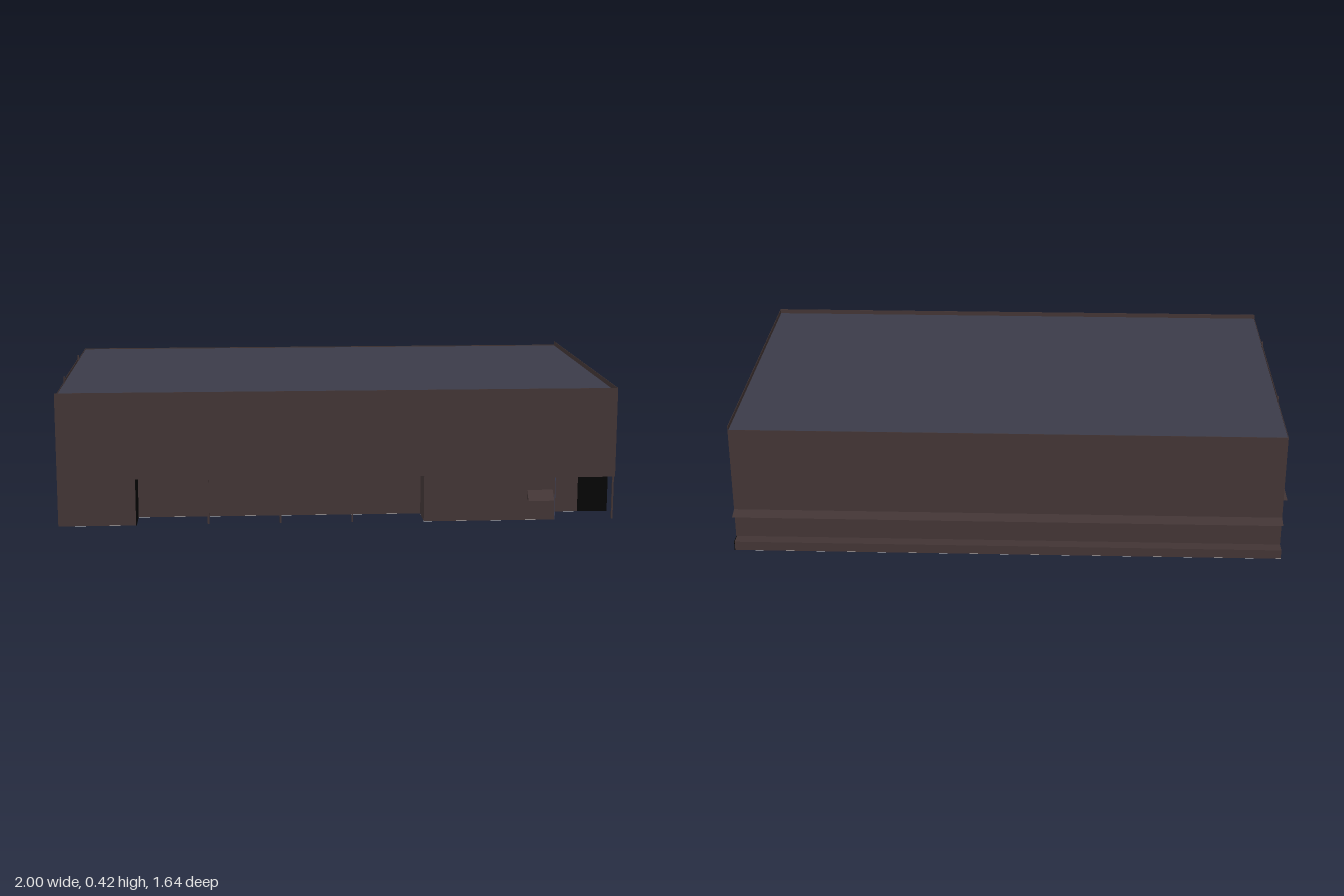
import * as THREE from 'three';

const mat = (name, color) => {
  const m = new THREE.MeshStandardMaterial({ color });
  m.name = name;
  return m;
};

export function createModel() {
  const brown = mat('brown wall', 0x413434);
  const slate = mat('slate roof', 0x3b3b49);
  const glass = mat('blue glass', 0x3a3d53);
  const black = mat('black', 0x050505);
  const grey = mat('pale slab', 0xd5d5d5);

  const root = new THREE.Group();
  root.name = 'building';
  const g = new THREE.Group();
  g.name = 'rotatedBuilding';
  g.rotation.y = -0.4115;
  root.add(g);

  // Main dimensions in the building's own frame
  const L = 0.862, F = 0.519, B = -0.484, D = 0.42, P = B - 0.038;
  const R0 = -0.6245, R1 = 0.265, C0 = 0.674, S = 0.0005;

  const add = (name, geo, m) => {
    const mesh = new THREE.Mesh(geo, m);
    mesh.name = name;
    g.add(mesh);
    return mesh;
  };
  // Box given by its minimum and maximum on each axis
  const box = (name, m, x0, x1, y0, y1, z0, z1) => {
    const mesh = add(name, new THREE.BoxGeometry(x1 - x0, y1 - y0, z1 - z0), m);
    mesh.position.set((x0 + x1) / 2, (y0 + y1) / 2, (z0 + z1) / 2);
  };
  // Storey band from a footprint, with or without the corner porch
  const band = (name, m, y0, y1, back, porch) => {
    const pts = [[-L, back], [L, back]];
    if (porch) pts.push([L, D], [C0, D], [C0, F]);
    else pts.push([L, F]);
    pts.push([R1, F], [R1, D], [R0, D], [R0, F], [-L, F]);
    const shape = new THREE.Shape(pts.map(([x, z]) => new THREE.Vector2(x, -z)));
    const geo = new THREE.ExtrudeGeometry(shape, { depth: y1 - y0, bevelEnabled: false });
    geo.rotateX(-Math.PI / 2);
    add(name, geo, m).position.y = y0;
  };
  // Sloped canopy: high at the wall, thin at the outer edge
  const canopy = (name, len, depth, h, x, y, z, turn) => {
    const shape = new THREE.Shape([[0, 0], [depth, 0], [0, h]].map(p => new THREE.Vector2(...p)));
    const geo = new THREE.ExtrudeGeometry(shape, { depth: len, bevelEnabled: false });
    geo.translate(0, 0, -len / 2);
    const mesh = add(name, geo, brown);
    mesh.position.set(x, y, z);
    mesh.rotation.y = turn;
  };

  // Floor slab (also under the back plinth) and walls
  band('floorSlab', grey, 0, S, P, true);
  band('groundFloorWalls', brown, S, 0.135, B, true);
  band('lintelBand', brown, 0.135, 0.145, B, false);
  box('upperWalls', brown, -L, L, 0.145, 0.39, B, F);

  // Roof and parapets
  const t = 0.0015;
  box('roof', slate, -L + t, L - t, 0.39, 0.4, B + t, F - t);
  box('frontParapet', brown, -L, L, 0.39, 0.415, F - t, F);
  box('rightParapet', brown, L - t, L, 0.39, 0.415, B, F - t);
  box('backParapet', brown, -L, L - t, 0.39, 0.403, B, B + t);
  box('leftParapet', brown, -L, -L + t, 0.39, 0.403, B + t, F - t);
  box('roofRail', brown, -L, -L + t, 0.403, 0.408, -0.213, 0.245);
  for (const z of [-0.213, 0.245]) {
    box('roofPost', brown, -L, -L + 0.004, 0.39, 0.42, z - 0.005, z + 0.005);
  }

  // Long front recess with slim columns
  box('recessSidePanel', black, R0, R0 + 0.002, S, 0.145, D, F - 0.0005);
  const columns = [1, 2, 3].map(i => [R0 + (i * (R1 - R0)) / 4, 0.145]);
  columns.push([L - 0.005, 0.135]);
  for (const [x, h] of columns) {
    box('column', brown, x - 0.0025, x + 0.0025, 0, h, F - 0.009, F - 0.004);
  }

  // Corner porch with side window and door
  box('porchWindow', glass, C0, C0 + 0.002, S, 0.135, D, F - 0.0005);
  box('porchDoor', black, 0.767, L, S, 0.135, D, D + 0.002);

  // Back plinth with a dark end, and the canopies
  box('backPlinth', brown, -L, L - 0.002, S, 0.03, P, B);
  box('plinthEnd', black, L - 0.002, L, S, 0.03, P, B);
  canopy('backCanopy', 2 * L, 0.038, 0.009, 0, 0.117, B, Math.PI / 2);
  canopy('frontCanopy', 0.08, 0.03, 0.028, 0.627, 0.068, F, -Math.PI / 2);
  for (const z of [-0.332, -0.155]) {
    canopy('sideCanopy', 0.088, 0.03, 0.005, -L, 0.13, z, Math.PI);
  }

  return root;
}
